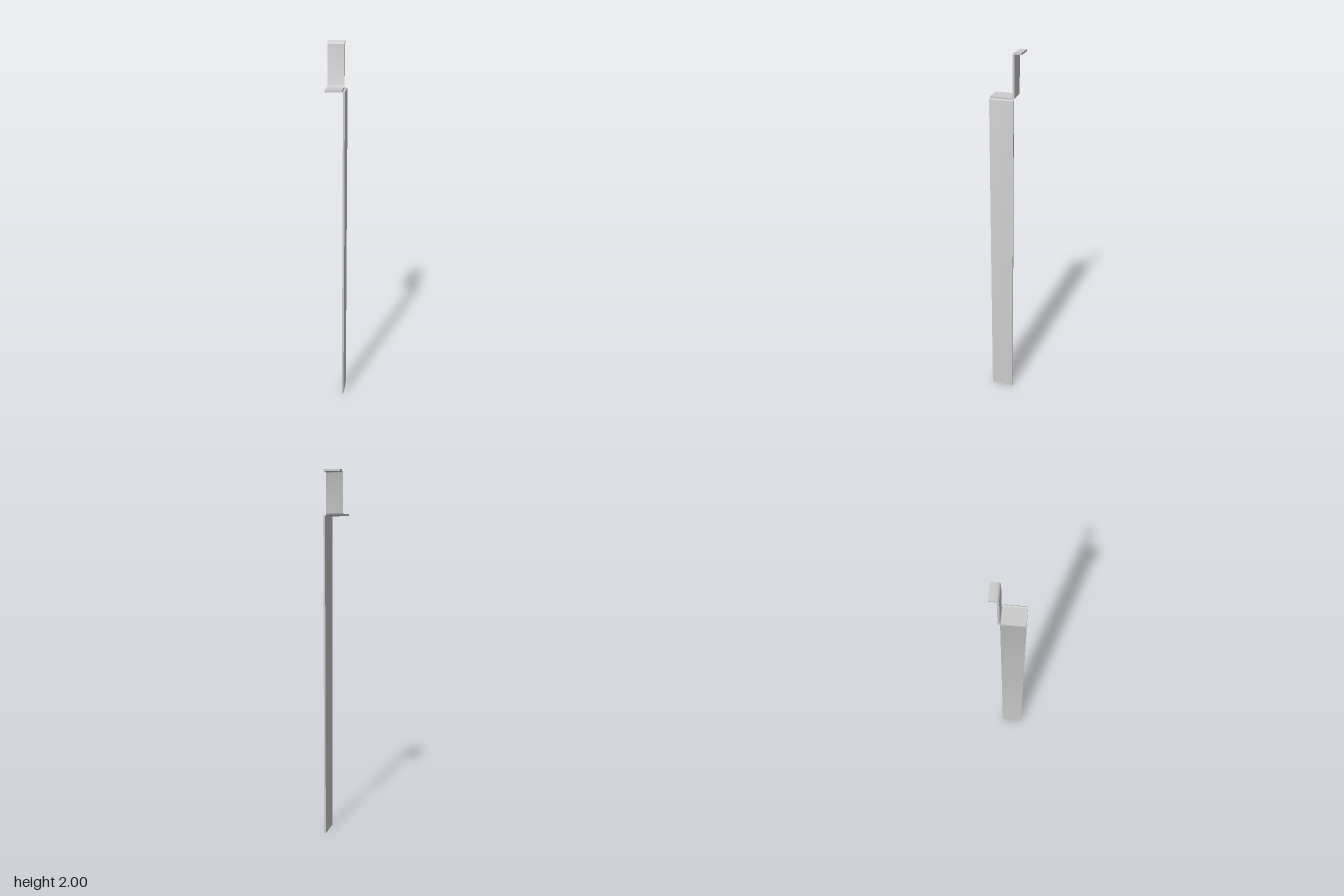
import * as THREE from 'three';
import { toCreasedNormals } from 'three/addons/utils/BufferGeometryUtils.js';

const T = 0.01;        // sheet thickness
const R_IN = 0.005;    // inside bend radius
const R_OUT = R_IN + T; // outside bend radius

// Closed outline from [x, y, radius?] corners, each radius giving a round bend
function outline(corners) {
  const pts = [];
  const add = (p) => {
    if (!pts.length || pts[pts.length - 1].distanceTo(p) > 1e-5) pts.push(p);
  };
  const n = corners.length;
  const at = (i) => new THREE.Vector2(...corners[(i + n) % n].slice(0, 2));
  corners.forEach(([, , r], i) => {
    const p = at(i);
    if (!r) return add(p);
    const a = at(i - 1).sub(p).normalize().multiplyScalar(r);
    const b = at(i + 1).sub(p).normalize().multiplyScalar(r);
    const centre = p.clone().add(a).add(b);
    for (let k = 0; k <= 8; k++) {
      const t = (k / 8) * Math.PI / 2;
      add(centre.clone().addScaledVector(b, -Math.cos(t)).addScaledVector(a, -Math.sin(t)));
    }
  });
  if (pts[0].distanceTo(pts[pts.length - 1]) < 1e-5) pts.pop();
  return new THREE.Shape(pts);
}

function bentSheet(name, corners, depth) {
  const geo = new THREE.ExtrudeGeometry(outline(corners), { depth, bevelEnabled: false });
  const mesh = new THREE.Mesh(
    toCreasedNormals(geo, 0.6),
    new THREE.MeshStandardMaterial({ color: 0xcccccc })
  );
  mesh.name = name;
  return mesh;
}

export function createModel() {
  const group = new THREE.Group();
  group.name = 'bentBracket';

  const left = -0.051, right = 0.051, joint = right - R_OUT;
  const front = 0.08, back = -0.045, shelfTop = 1.78;

  // Long hanging strip with the bend that carries it into the shelf
  const strip = bentSheet('longStrip', [
    [joint, shelfTop - T],
    [right - T, shelfTop - T, R_IN],
    [right - T, 0],
    [right, 0],
    [right, shelfTop, R_OUT],
  ], front - back);
  strip.position.z = back;
  group.add(strip);

  // Shelf, upright tab and top hook folded from one piece (profile runs along -z)
  const tab = bentSheet('shelfTabAndHook', [
    [-front, shelfTop - T],
    [-back, shelfTop - T, R_OUT],
    [-back, 2 - T, R_IN],
    [0.08, 2 - T],
    [0.08, 2],
    [-back - T, 2, R_OUT],
    [-back - T, shelfTop, R_IN],
    [-front, shelfTop],
  ], joint - left);
  tab.rotation.y = Math.PI / 2;
  tab.position.x = left;
  group.add(tab);

  return group;
}
